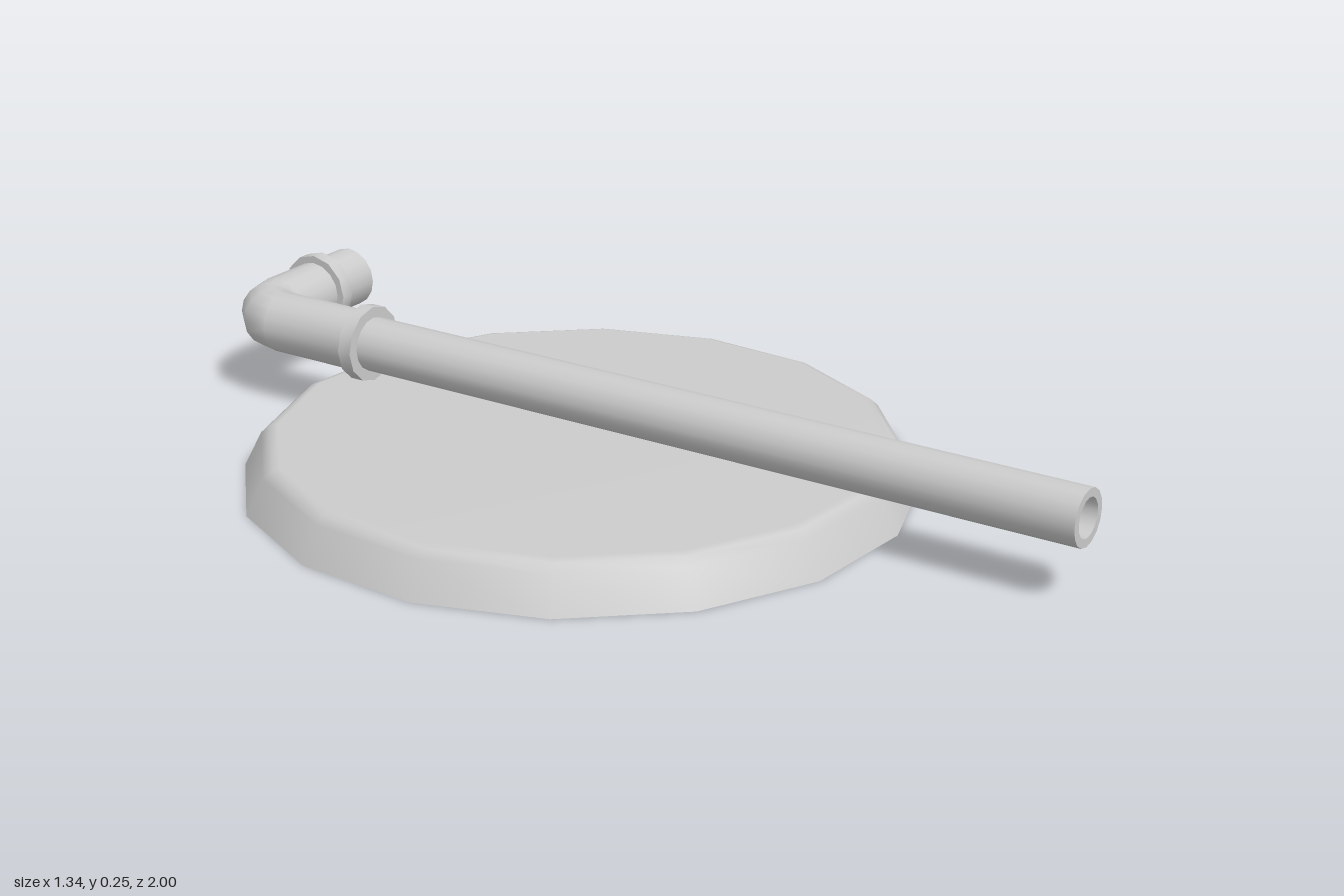
import * as THREE from 'three';
import { toCreasedNormals } from 'three/addons/utils/BufferGeometryUtils.js';

const grey = new THREE.MeshStandardMaterial({ color: 0xcccccc });
const openGrey = new THREE.MeshStandardMaterial({ color: 0xcccccc, side: THREE.DoubleSide });

function add(parent, name, geometry, x = 0, y = 0, z = 0, material = grey) {
  const mesh = new THREE.Mesh(geometry, material);
  mesh.name = name;
  mesh.position.set(x, y, z);
  parent.add(mesh);
  return mesh;
}

const lathe = (points, sides) =>
  new THREE.LatheGeometry(points.map(([r, h]) => new THREE.Vector2(r, h)), sides);

// Turned part with sharp profile edges, its axis laid along z
const turned = (points, sides = 16) =>
  toCreasedNormals(lathe(points, sides), 0.7).rotateX(Math.PI / 2);

// Plain collar ring
const collar = () =>
  turned([[0.05, -0.015], [0.079, -0.015], [0.079, 0.015], [0.05, 0.015]], 12);

export function createModel() {
  const model = new THREE.Group();
  model.name = 'pipeOnBase';

  // Low 16-sided lid, a thin shell open underneath
  add(model, 'baseShell',
    lathe([[0.669, 0], [0.634, 0.07], [0.617, 0.085], [0.6, 0.09], [0, 0.09]], 16),
    0, 0, -0.061, openGrey);

  // Pipe assembly, turned about the vertical
  const pipe = new THREE.Group();
  pipe.name = 'pipeAssembly';
  pipe.position.y = 0.169;
  pipe.rotation.y = Math.PI / 12;
  model.add(pipe);

  const axisX = 0.016, armZ = -0.884, bend = 0.07, r = 0.063;
  const bendX = axisX + bend, bendZ = armZ + bend;

  // Long pipe with a recessed mouth at the front
  add(pipe, 'longPipe',
    turned([[0.056, -0.6], [0.056, 1.025], [0.039, 1.025], [0.039, 0.915], [0, 0.915]]), axisX);

  // Elbow fitting: sleeve, quarter bend and short capped arm
  add(pipe, 'elbowSleeve', turned([[r, bendZ], [r, -0.587], [0.04, -0.587]]), axisX);
  add(pipe, 'elbowBend',
    new THREE.TorusGeometry(bend, r, 16, 3, Math.PI / 2).rotateZ(Math.PI).rotateX(Math.PI / 2),
    bendX, 0, bendZ, openGrey);
  add(pipe, 'elbowArm', turned([[r, bendX], [r, 0.327], [0, 0.327]]), 0, 0, armZ).rotation.y = Math.PI / 2;

  // Collars on both elbow legs
  add(pipe, 'sleeveCollar', collar(), axisX, 0, -0.587);
  add(pipe, 'armCollar', collar(), 0.221, 0, armZ).rotation.y = Math.PI / 2;

  return model;
}
